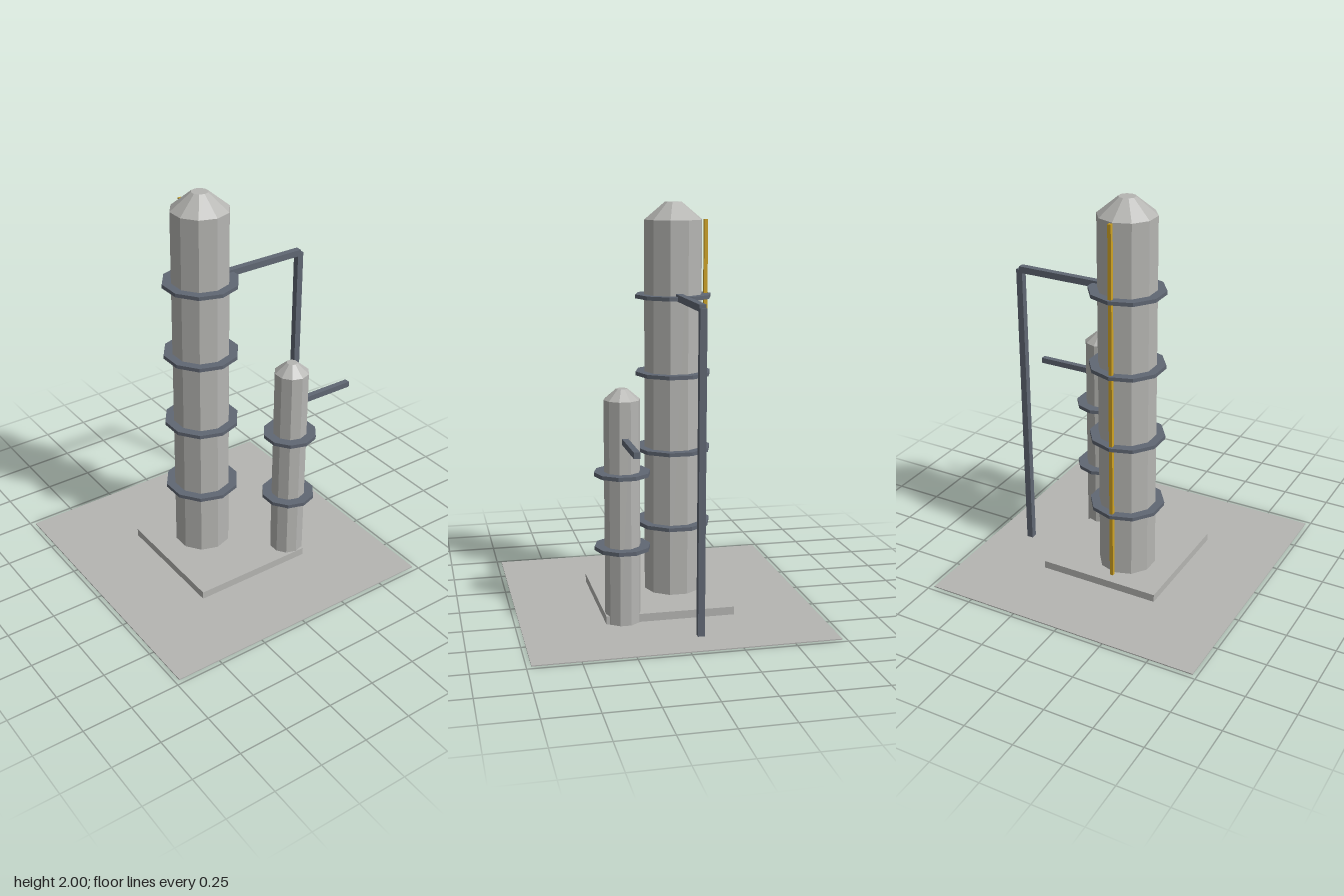
import * as THREE from 'three';

export function createModel() {
  const model = new THREE.Group();
  const paint = (name, color) => {
    const m = new THREE.MeshStandardMaterial({ color, flatShading: true });
    m.name = name;
    return m;
  };
  const paleGrey = paint('pale grey', 0xb5b5b2);
  const steel = paint('slate steel', 0x606773);
  const yellow = paint('safety yellow', 0xcfa324);

  const add = (parent, name, geometry, material, x, y, z) => {
    const mesh = new THREE.Mesh(geometry, material);
    mesh.name = name;
    mesh.position.set(x, y, z);
    parent.add(mesh);
    return mesh;
  };
  // Box given by its minimum and maximum corners
  const box = (parent, name, material, [x0, y0, z0], [x1, y1, z1]) =>
    add(parent, name, new THREE.BoxGeometry(x1 - x0, y1 - y0, z1 - z0), material,
      (x0 + x1) / 2, (y0 + y1) / 2, (z0 + z1) / 2);

  // Ten-sided column with a tapered cap and ring platforms
  function column(name, o) {
    const g = new THREE.Group();
    g.name = name;
    g.position.set(o.x, 0, o.z);
    add(g, 'shell', new THREE.CylinderGeometry(o.r, o.r, o.top - o.bottom, 10), paleGrey,
      0, (o.top + o.bottom) / 2, 0);
    add(g, 'cap', new THREE.CylinderGeometry(o.capR, o.r, o.peak - o.top, 10), paleGrey,
      0, (o.peak + o.top) / 2, 0);
    for (const y of o.rings)
      add(g, 'platform', new THREE.CylinderGeometry(o.ringR, o.ringR, 0.019, 10), steel, 0, y, 0);
    model.add(g);
    return g;
  }

  // Ground plate and foundation
  box(model, 'groundPlate', paleGrey, [-0.727, 0, -0.727], [0.727, 0.005, 0.727]);
  box(model, 'foundation', paleGrey, [-0.318, 0.005, -0.318], [0.318, 0.045, 0.318]);

  // Tall column with its ladder at the back
  const tx = -0.047, tz = -0.091;
  const tall = column('tallColumn', {
    x: tx, z: tz, r: 0.145, capR: 0.042, bottom: 0.045, top: 1.915, peak: 2,
    ringR: 0.19, rings: [0.398, 0.78, 1.162, 1.544],
  });
  box(tall, 'ladder', yellow, [-0.009, 0.045, -0.173], [0.009, 1.915, -0.155]);

  // Short column
  const sx = 0.273, sz = 0.229;
  column('shortColumn', {
    x: sx, z: sz, r: 0.087, capR: 0.027, bottom: 0.005, top: 1.097, peak: 1.148,
    ringR: 0.136, rings: [0.378, 0.742],
  });

  // Overhead pipe, downcomer and short outlet pipe
  const p = 0.0165;
  box(model, 'overheadPipe', steel, [tx + 0.1, 1.548 - p, tz - p], [0.545, 1.548 + p, tz + p]);
  box(model, 'downPipe', steel, [0.545 - p, 0.005, tz - p], [0.545 + p, 1.548, tz + p]);
  box(model, 'outletPipe', steel, [sx + 0.05, 0.896, sz - 0.0145], [0.636, 0.925, sz + 0.0145]);

  return model;
}
